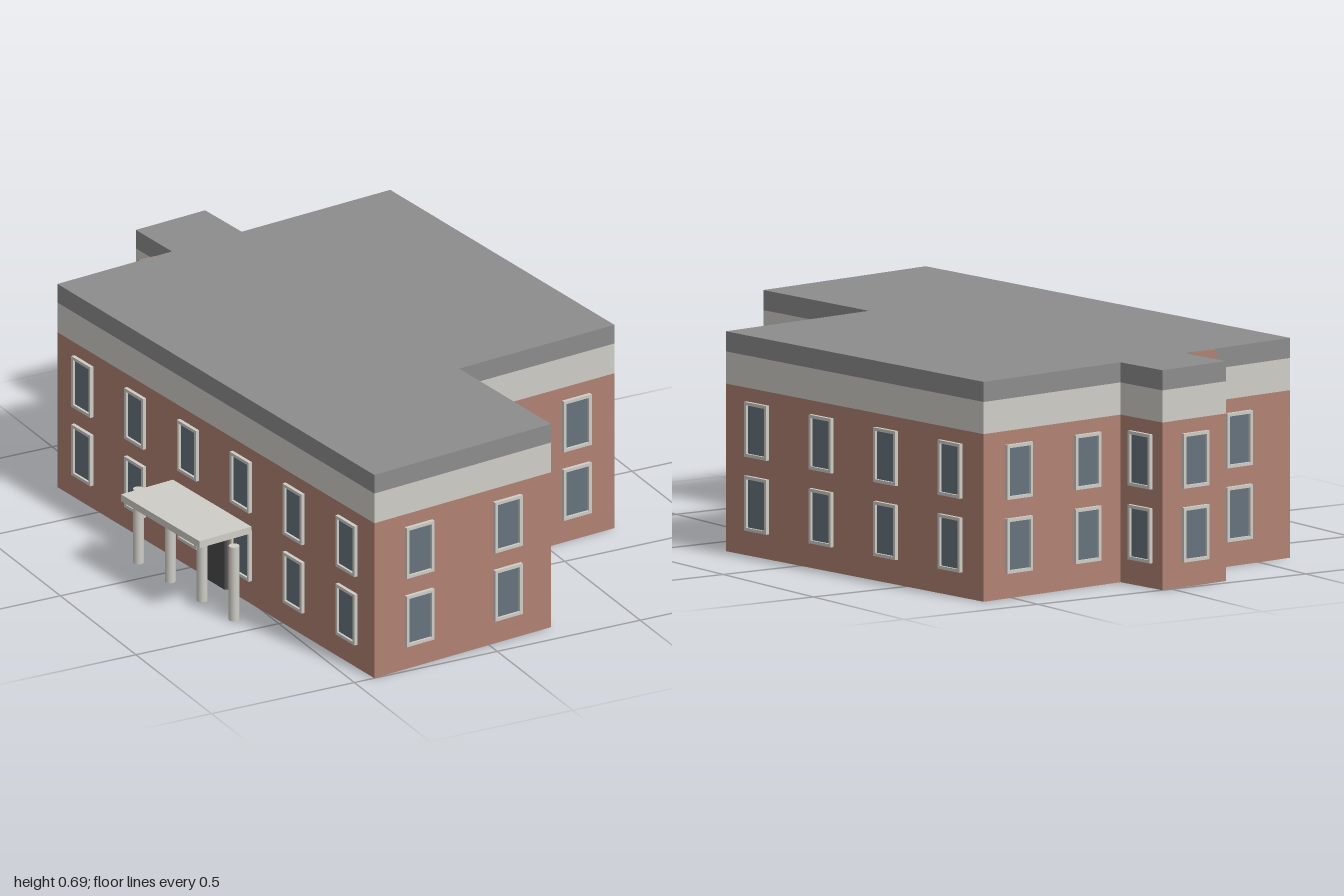
import * as THREE from 'three';

const mat = (name, color) => {
  const m = new THREE.MeshStandardMaterial({ color });
  m.name = name;
  return m;
};

export function createModel() {
  const brick = mat('brick', 0xb08173);
  const trim = mat('pale trim', 0xcfcdc6);
  const roofGrey = mat('roof grey', 0x8c8c8d);
  const glass = mat('window glass', 0x65727c);
  const doorGrey = mat('door grey', 0x4a4a4c);

  const building = new THREE.Group();
  building.name = 'building';
  const add = (parent, name, geo, material, x = 0, y = 0, z = 0) => {
    const mesh = new THREE.Mesh(geo, material);
    mesh.name = name;
    mesh.position.set(x, y, z);
    parent.add(mesh);
    return mesh;
  };

  // Footprint corners: x, z and the number of window bays on the wall that follows
  const walls = [
    [-0.627, -0.725, 1], [-0.2, -0.775, 1], [-0.223, -0.97, 1], [0.035, -1, 1],
    [0.06, -0.805, 2], [0.613, -0.868, 4], [0.753, 0.352, 2], [0.175, 0.417, 1],
    [0.232, 0.917, 2], [-0.43, 1, 6],
  ];

  // Stacked storeys: brick body, pale band, roof edge
  const footprint = new THREE.Shape(walls.map(([x, z]) => new THREE.Vector2(x, -z)));
  const layer = (name, y0, y1, material) => {
    const geo = new THREE.ExtrudeGeometry(footprint, { depth: y1 - y0, bevelEnabled: false });
    geo.rotateX(-Math.PI / 2);
    add(building, name, geo, material, 0, y0, 0);
  };
  layer('brickWalls', 0, 0.526, brick);
  layer('paleBand', 0.526, 0.627, trim);
  layer('roof', 0.627, 0.69, roofGrey);

  // Small brick stack just breaking through the back roof edge
  add(building, 'brickStack', new THREE.BoxGeometry(0.12, 0.062, 0.06), brick, -0.26, 0.658, -0.741);

  // Window frame ring and pane, shared by every window
  const W = 0.104, H = 0.172, bar = 0.01;
  const rect = (w, h, Type) => new Type([
    new THREE.Vector2(-w / 2, -h / 2), new THREE.Vector2(w / 2, -h / 2),
    new THREE.Vector2(w / 2, h / 2), new THREE.Vector2(-w / 2, h / 2),
  ]);
  const ring = rect(W, H, THREE.Shape);
  ring.holes.push(rect(W - 2 * bar, H - 2 * bar, THREE.Path));
  const frameGeo = new THREE.ExtrudeGeometry(ring, { depth: 0.012, bevelEnabled: false });
  const paneGeo = new THREE.BoxGeometry(W - 2 * bar, H - 2 * bar, 0.008);

  // Group set on a wall at fraction t, with its local +z pointing outwards
  const onWall = (i, t, y, name) => {
    const [ax, az] = walls[i], [bx, bz] = walls[(i + 1) % walls.length];
    const g = new THREE.Group();
    g.name = name;
    g.position.set(ax + (bx - ax) * t, y, az + (bz - az) * t);
    g.rotation.y = Math.atan2(bz - az, ax - bx);
    building.add(g);
    return g;
  };

  walls.forEach(([, , bays], i) => {
    for (let b = 0; b < bays; b++) {
      for (const y of [0.165, 0.397]) {
        const win = onWall(i, (b + 0.5) / bays, y, 'window');
        add(win, 'windowFrame', frameGeo, trim);
        add(win, 'windowPane', paneGeo, glass);
      }
    }
  });

  // Entrance door midway along the long west wall
  const door = onWall(9, 0.5, 0.12, 'entrance');
  add(door, 'door', new THREE.BoxGeometry(0.12, 0.24, 0.016), doorGrey);

  // Flat canopy and its row of columns, parallel to the west wall
  const porch = new THREE.Group();
  porch.name = 'porch';
  porch.position.set(-0.638, 0, 0.148);
  porch.rotation.y = 0.118;
  building.add(porch);
  add(porch, 'canopy', new THREE.BoxGeometry(0.195, 0.023, 0.428), trim, 0, 0.261, 0);
  const columnGeo = new THREE.CylinderGeometry(0.017, 0.017, 0.25, 12);
  for (let i = 0; i < 4; i++) {
    add(porch, 'column', columnGeo, trim, 0, 0.125, -0.26 + i * 0.1733);
  }

  return building;
}
